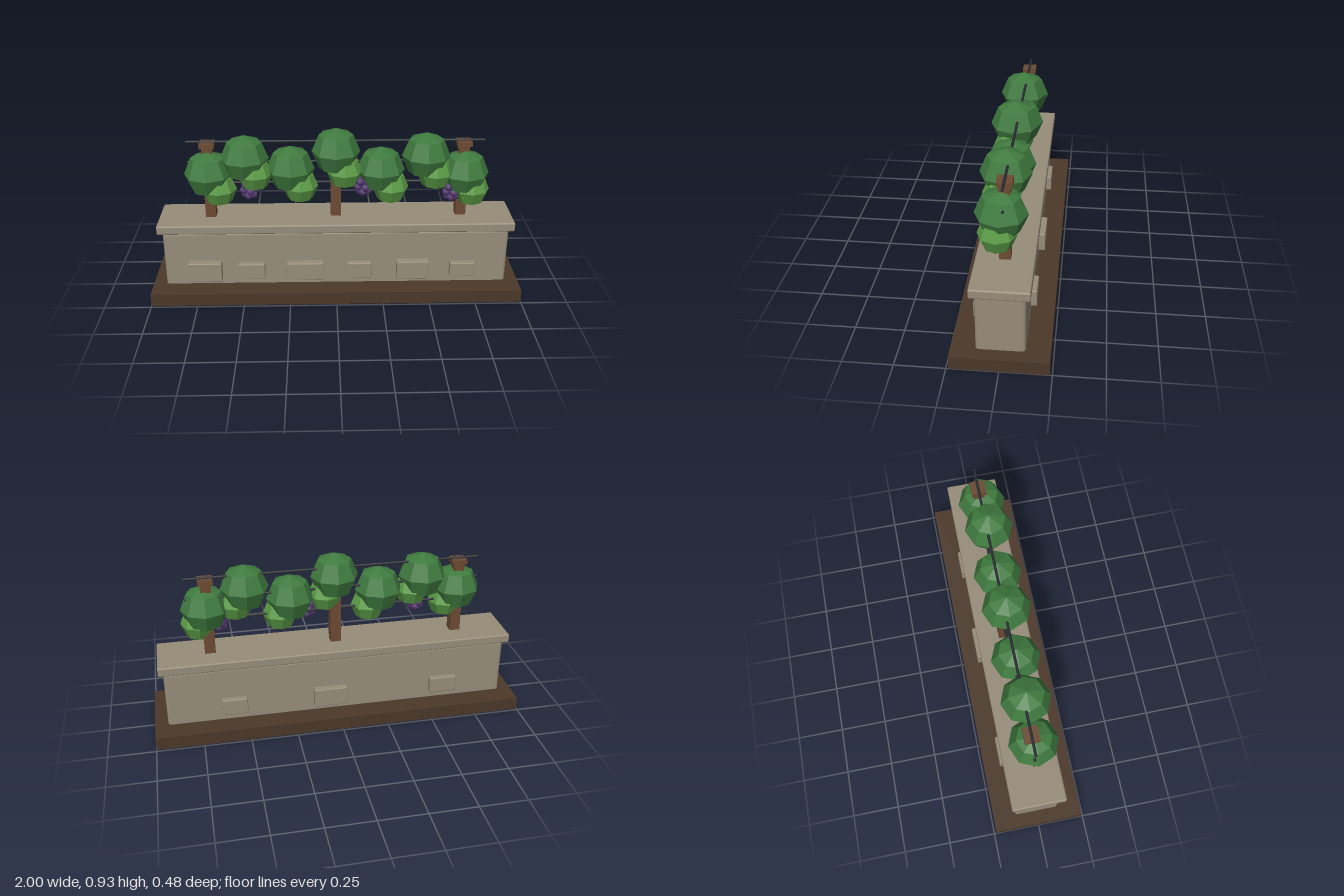
import * as THREE from 'three';
import { RoundedBoxGeometry } from 'three/addons/geometries/RoundedBoxGeometry.js';

const mat = (name, color, flatShading = false) => {
  const m = new THREE.MeshStandardMaterial({ color, flatShading });
  m.name = name;
  return m;
};

export function createModel() {
  const stone = mat('stone', 0x968c79);
  const soil = mat('dark earth', 0x4b3829);
  const wood = mat('wood', 0x6b4a33);
  const leaf = mat('dark leaf', 0x3f7a3f, true);
  const freshLeaf = mat('fresh leaf', 0x5a9a45, true);
  const grape = mat('grape', 0x553a70);
  const wire = mat('wire', 0x2a2d33);

  const model = new THREE.Group();
  model.name = 'vineyardWall';

  const add = (name, geometry, material, x, y, z = 0, parent = model) => {
    const mesh = new THREE.Mesh(geometry, material);
    mesh.name = name;
    mesh.position.set(x, y, z);
    parent.add(mesh);
    return mesh;
  };
  const rounded = (w, h, d, r) => new RoundedBoxGeometry(w, h, d, 2, r);

  // Ground slab, wall and coping
  add('groundSlab', new THREE.BoxGeometry(2, 0.07, 0.476), soil, 0, 0.035);
  add('wall', rounded(1.86, 0.33, 0.24, 0.018), stone, 0, 0.215);
  add('coping', rounded(1.91, 0.05, 0.286, 0.008), stone, 0, 0.405);

  // Raised stones: centre x, centre y, width, height, outer z
  const stones = [
    [-0.71, 0.157, 0.18, 0.11, 0.16],
    [-0.46, 0.156, 0.145, 0.088, 0.152],
    [-0.17, 0.157, 0.2, 0.1, 0.16],
    [0.125, 0.156, 0.13, 0.09, 0.152],
    [0.415, 0.157, 0.175, 0.108, 0.16],
    [0.685, 0.156, 0.135, 0.08, 0.152],
    [0.57, 0.156, 0.135, 0.09, -0.15],
    [0.05, 0.157, 0.18, 0.104, -0.157],
    [-0.585, 0.156, 0.15, 0.09, -0.15],
  ];
  for (const [x, y, w, h, z] of stones) {
    add('raisedStone', rounded(w, h, 0.07, 0.005), stone, x, y, z - Math.sign(z) * 0.035);
  }

  // Posts with caps
  for (const x of [-0.675, 0, 0.675]) {
    add('post', new THREE.BoxGeometry(0.056, 0.41, 0.056), wood, x, 0.63);
    add('postCap', new THREE.BoxGeometry(0.078, 0.025, 0.076), wood, x, 0.838);
  }

  // Trellis wires
  for (const y of [0.62, 0.74, 0.853]) {
    const w = add('trellisWire', new THREE.CylinderGeometry(0.007, 0.007, 1.57, 8), wire, 0, y);
    w.rotation.z = Math.PI / 2;
  }

  // Foliage: a large dark clump with a smaller fresh one hanging beside it
  const bigLeaf = new THREE.SphereGeometry(0.128, 8, 4);
  const smallLeaf = new THREE.SphereGeometry(0.096, 8, 4);
  const vines = [
    [-0.675, 0.68, -0.622, 0.6],
    [-0.48, 0.767, -0.43, 0.685],
    [-0.24, 0.706, -0.19, 0.615],
    [0, 0.803, 0.045, 0.695],
    [0.237, 0.698, 0.29, 0.605],
    [0.475, 0.775, 0.525, 0.685],
    [0.685, 0.676, 0.722, 0.588],
  ];
  for (const [x, y, sx, sy] of vines) {
    add('leafClump', bigLeaf, leaf, x, y, 0.017);
    add('freshLeafClump', smallLeaf, freshLeaf, sx, sy, 0.033);
  }

  // Grape bunches built from rows of berries
  const berry = new THREE.SphereGeometry(0.022, 10, 8);
  for (const [x, y] of [[-0.46, 0.6], [0.145, 0.615], [0.615, 0.58]]) {
    const bunch = new THREE.Group();
    bunch.name = 'grapeBunch';
    bunch.position.set(x, y, 0.045);
    model.add(bunch);
    [[0.026, 0.03], [0.03, 0], [0.022, -0.026]].forEach(([r, by], row) => {
      for (let i = 0; i < 4; i++) {
        const a = (i + 0.5 + row * 0.3) * Math.PI / 2;
        add('berry', berry, grape, r * Math.cos(a), by, r * Math.sin(a), bunch);
      }
    });
  }
  return model;
}
